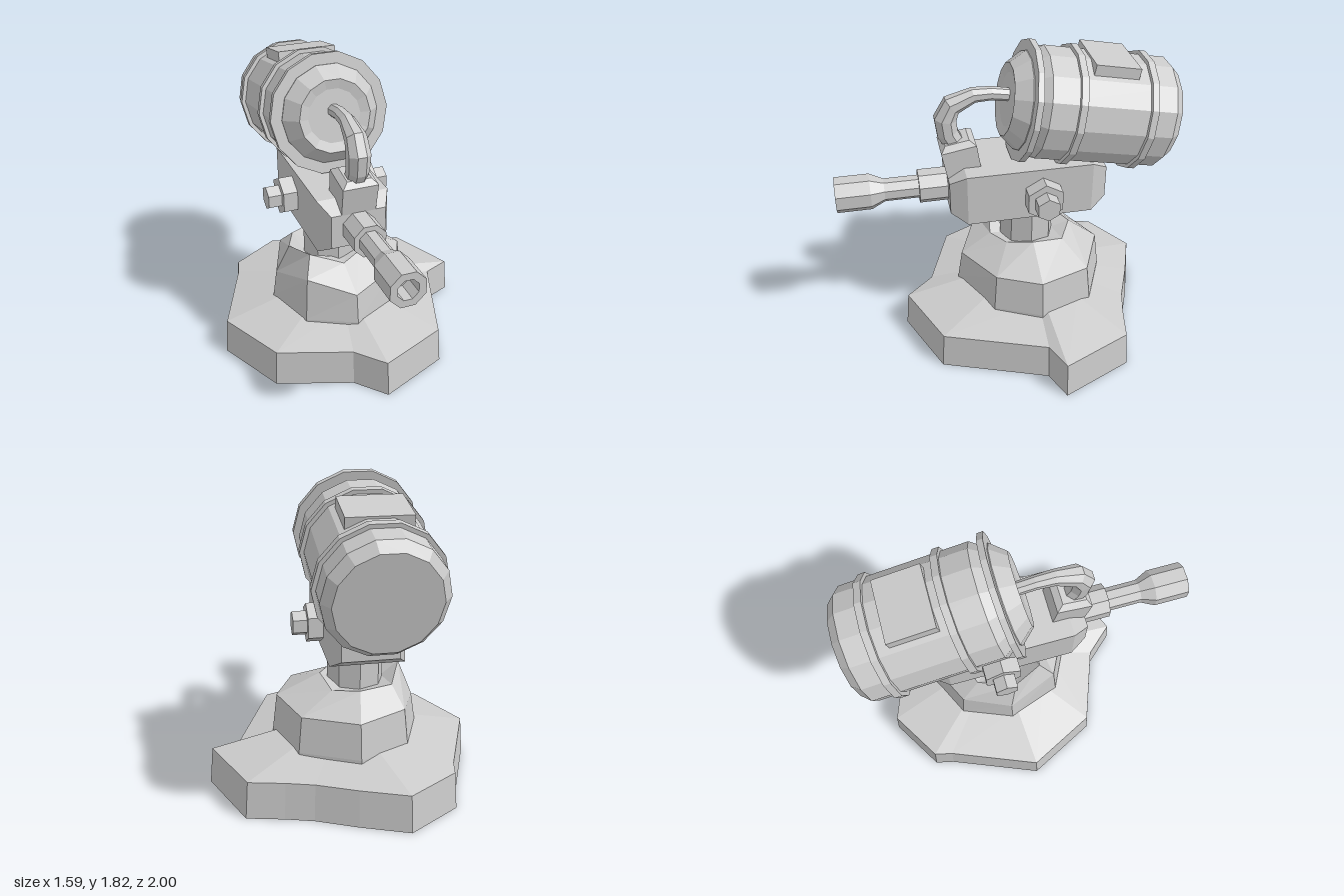
import * as THREE from 'three';

const V = (x, y, z) => new THREE.Vector3(x, y, z);
const CX = -0.08; // centre line of the machine

const material = new THREE.MeshStandardMaterial({ color: 0xcccccc, flatShading: true });

function add(parent, name, geometry) {
  const mesh = new THREE.Mesh(geometry, material);
  mesh.name = name;
  parent.add(mesh);
  return mesh;
}

// Skin a list of equal-length rings and close both ends with fans.
function loft(rings) {
  const pos = [];
  const tri = (...pts) => pts.forEach((p) => pos.push(p.x, p.y, p.z));
  const n = rings[0].length;
  const centre = (ring) => ring.reduce((s, p) => s.add(p), V(0, 0, 0)).divideScalar(n);
  for (let i = 0; i < rings.length - 1; i++) {
    for (let j = 0; j < n; j++) {
      const k = (j + 1) % n;
      const a = rings[i][j], b = rings[i][k], c = rings[i + 1][k], d = rings[i + 1][j];
      tri(a, b, c);
      tri(a, c, d);
    }
  }
  const first = rings[0], last = rings[rings.length - 1];
  const c0 = centre(first), c1 = centre(last);
  for (let j = 0; j < n; j++) {
    const k = (j + 1) % n;
    tri(c0, first[k], first[j]);
    tri(c1, last[j], last[k]);
  }
  const g = new THREE.BufferGeometry();
  g.setAttribute('position', new THREE.Float32BufferAttribute(pos, 3));
  g.computeVertexNormals();
  return g;
}

function lathe(points, sides) {
  const profile = points.map(([r, y]) => new THREE.Vector2(r, y));
  return new THREE.LatheGeometry(profile, sides, Math.PI / sides);
}

export function createModel() {
  const model = new THREE.Group();
  model.name = 'mountedTank';

  // Lower rock: irregular outline (x, z) with a sloping ledge
  const outline = [
    [-0.01, 0.66], [0.41, 0.485], [0.63, -0.12], [0.8, -0.19], [0.62, -0.61],
    [0.41, -0.655], [0.25, -0.7], [0.02, -0.8], [-0.25, -0.9], [-0.555, -0.71],
    [-0.58, -0.6], [-0.79, -0.08], [-0.59, 0.33], [-0.16, 0.49],
  ];
  const rockRing = (s, y) => outline.map(([x, z]) => V(-0.03 + (x + 0.03) * s, y, -0.14 + (z + 0.14) * s));
  add(model, 'lowerRock', loft([rockRing(1, 0), rockRing(0.975, 0.22), rockRing(0.5, 0.3)]));

  // Upper rock: steep sides, then an uneven shoulder around the column
  const foot = [[-0.06, 0.31], [0.29, 0.14], [0.415, -0.13], [0.3, -0.45],
    [-0.03, -0.6], [-0.33, -0.45], [-0.45, -0.15], [-0.34, 0.17]];
  const shoulderY = [0.47, 0.51, 0.51, 0.5, 0.5, 0.5, 0.46, 0.56];
  const crown = [[-0.07, 0.59, 0.1], [0.06, 0.6, 0.02], [0.13, 0.63, -0.13], [0.09, 0.6, -0.32],
    [-0.06, 0.62, -0.4], [-0.26, 0.61, -0.32], [-0.35, 0.66, -0.1], [-0.275, 0.68, 0.07]];
  add(model, 'upperRock', loft([
    foot.map(([x, z]) => V(x, 0.24, z)),
    foot.map(([x, z]) => V(x, 0.29, z)),
    foot.map(([x, z], i) => V(-0.03 + (x + 0.03) * 0.94, shoulderY[i], -0.14 + (z + 0.14) * 0.94)),
    crown.map((p) => V(...p)),
    crown.map(([x, , z]) => V(CX + (x - CX) * 0.6, 0.58, -0.13 + (z + 0.13) * 0.6)),
  ]));

  // Column
  add(model, 'column', new THREE.CylinderGeometry(0.165, 0.165, 0.35, 8)).position.set(CX, 0.695, -0.13);

  // Housing block with bevelled ends
  const rect = (z, w, y0, y1) => [V(CX + w, y0, z), V(CX + w, y1, z), V(CX - w, y1, z), V(CX - w, y0, z)];
  add(model, 'housing', loft([
    rect(-0.575, 0.16, 0.88, 1.08), rect(-0.48, 0.21, 0.82, 1.14),
    rect(0.26, 0.21, 0.82, 1.14), rect(0.355, 0.16, 0.88, 1.08),
  ]));

  // Hexagonal bolts on both sides
  for (const side of [-1, 1]) {
    const bolt = new THREE.Group();
    bolt.name = side > 0 ? 'leftBolt' : 'rightBolt';
    for (const [name, r, reach] of [['boltCollar', 0.117, 0.295], ['boltHead', 0.072, 0.375]]) {
      const g = new THREE.CylinderGeometry(r, r, reach - 0.15, 6).rotateY(Math.PI / 2).rotateZ(Math.PI / 2);
      add(bolt, name, g).position.x = side * (reach + 0.15) / 2;
    }
    bolt.position.set(CX, 0.97, -0.18);
    model.add(bolt);
  }

  // Hollow nozzle
  const nozzle = add(model, 'nozzle', lathe([
    [0, 0.3], [0.1, 0.3], [0.1, 0.52], [0.068, 0.52], [0.068, 0.72], [0.106, 0.8],
    [0.106, 1], [0.062, 1], [0.062, 0.88], [0, 0.88],
  ], 8));
  nozzle.rotation.x = Math.PI / 2;
  nozzle.position.set(CX, 0.988, 0);

  // Hose socket leaning forward, with a bevelled top
  const square = (y, w) => [V(-w, y, w), V(w, y, w), V(w, y, -w), V(-w, y, -w)];
  const socket = add(model, 'hoseSocket', loft([square(-0.03, 0.1), square(0.165, 0.103), square(0.195, 0.07)]));
  socket.rotation.x = 0.17;
  socket.position.set(CX, 1.1, 0.257);

  // Tapering hose bent from socket to tank: z, y, radius
  const path = [[0.29, 1.24, 0.06], [0.335, 1.33, 0.065], [0.345, 1.42, 0.068], [0.305, 1.5, 0.062],
    [0.18, 1.55, 0.045], [0.08, 1.55, 0.04], [-0.06, 1.525, 0.038]];
  add(model, 'hose', loft(path.map(([z, y, r], i) => {
    const a = path[Math.max(i - 1, 0)], b = path[Math.min(i + 1, path.length - 1)];
    const t = V(0, b[1] - a[1], b[0] - a[0]).normalize();
    const u = V(1, 0, 0), v = t.clone().cross(u);
    return Array.from({ length: 8 }, (_, j) => {
      const ang = (j + 0.5) * Math.PI / 4;
      return V(CX, y, z).addScaledVector(u, r * Math.cos(ang)).addScaledVector(v, r * Math.sin(ang));
    });
  })));

  // Tilted tank, its local +y pointing to the front
  const tank = new THREE.Group();
  tank.name = 'tank';
  tank.rotation.x = Math.PI / 2 - 0.192;
  tank.position.set(CX, 1.505, 0.003);
  model.add(tank);
  add(tank, 'tankShell', lathe([
    [0, -0.965], [0.277, -0.965], [0.325, -0.91], [0.325, -0.18], [0.285, -0.125],
    [0.285, -0.085], [0.21, 0], [0.155, -0.015], [0, -0.015],
  ], 14));
  // Raised bands and front collar
  const band = (name, r, inner, y0, y1) => add(tank, name, lathe([
    [inner, y0], [r, y0], [r, y1], [inner, y1],
  ], 14));
  band('rearBand', 0.348, 0.3, -0.79, -0.75);
  band('middleBand', 0.348, 0.3, -0.375, -0.335);
  band('frontCollar', 0.35, 0.26, -0.125, -0.09);
  // Flat plate on top
  add(tank, 'topPlate', new THREE.BoxGeometry(0.35, 0.265, 0.08)).position.set(0, -0.55, -0.29);

  return model;
}
